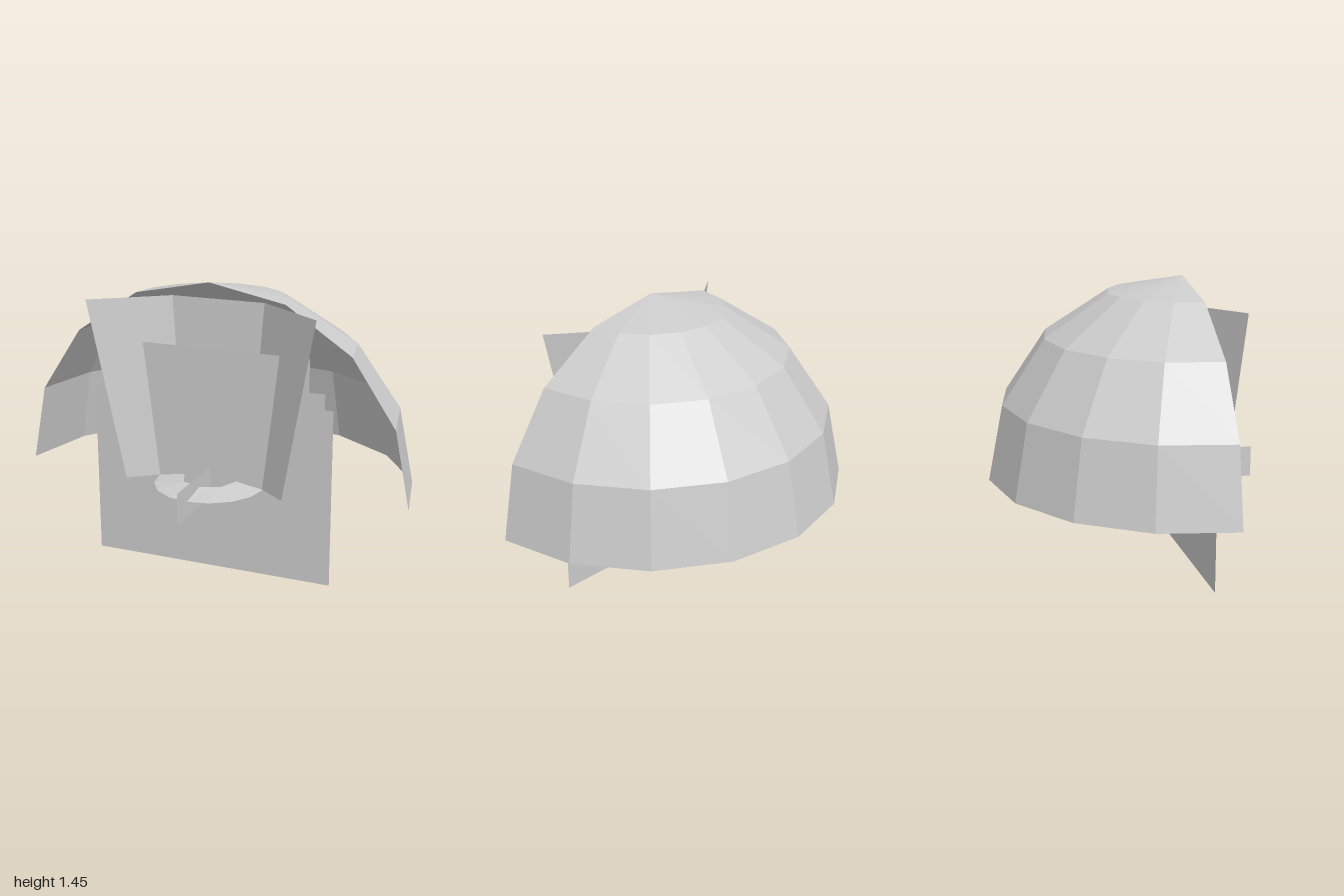
import * as THREE from 'three';

const FRONT_Z = 0.305; // plane of the face and the dome's open edge

export function createModel() {
  const group = new THREE.Group();
  const grey = new THREE.MeshStandardMaterial({ color: 0xcccccc, flatShading: true, side: THREE.DoubleSide });
  grey.name = 'lightGrey';

  const add = (name, geometry, x = 0, y = 0, z = FRONT_Z) => {
    const mesh = new THREE.Mesh(geometry, grey);
    mesh.name = name;
    mesh.position.set(x, y, z);
    group.add(mesh);
    return mesh;
  };

  // Open quarter-sphere shell behind the face
  add('domeShell', new THREE.SphereGeometry(1, 8, 4, Math.PI, Math.PI, 0, Math.PI / 2), 0, 0.45);

  // Flat face panel with stepped upper corners
  const half = [[0.625, 0], [0.625, 0.89], [0.583, 0.89], [0.583, 0.968], [0.505, 0.968], [0.505, 1.13]];
  const outline = [...half, ...half.map(([x, y]) => [-x, y]).reverse()];
  add('facePanel', new THREE.ShapeGeometry(new THREE.Shape(outline.map(([x, y]) => new THREE.Vector2(x, y)))));

  // Three-sided flared collar, open to the front: rows of [x, z]
  const mirrorRow = (row) => [...row, ...row.map(([x, z]) => [-x, z]).reverse()];
  const bottom = mirrorRow([[-0.41, 0.408], [-0.17, 0.227]]);
  const top = mirrorRow([[-0.58, 0.452], [-0.24, 0.2]]);
  const positions = [];
  for (let i = 0; i < 3; i++) {
    const a = [bottom[i][0], 0.45, bottom[i][1]];
    const b = [bottom[i + 1][0], 0.45, bottom[i + 1][1]];
    const c = [top[i + 1][0], 1.35, top[i + 1][1]];
    const d = [top[i][0], 1.35, top[i][1]];
    positions.push(...a, ...b, ...c, ...a, ...c, ...d);
  }
  const collar = new THREE.BufferGeometry();
  collar.setAttribute('position', new THREE.Float32BufferAttribute(positions, 3));
  collar.computeVertexNormals();
  add('flaredCollar', collar, 0, 0, 0);

  // Flattened ring: sharp 16-sided rim, eight-sided hole
  const ring = new THREE.TorusGeometry(0.185, 0.0926, 3, 16);
  const p = ring.attributes.position;
  for (let j = 1; j < 3; j++) {
    for (let i = 1; i <= 16; i += 2) {
      const k = j * 17 + i, s = Math.cos(Math.PI / 8);
      p.setXY(k, p.getX(k) * s, p.getY(k) * s);
    }
  }
  ring.rotateX(Math.PI / 2);
  ring.scale(1, 0.31, 1);
  ring.computeVertexNormals();
  add('flatRing', ring, 0, 0.448);

  // Upright plate through the middle of the ring
  add('centrePlate', new THREE.PlaneGeometry(0.39, 0.162).rotateY(Math.PI / 2), 0, 0.448, 0.5);

  return group;
}
